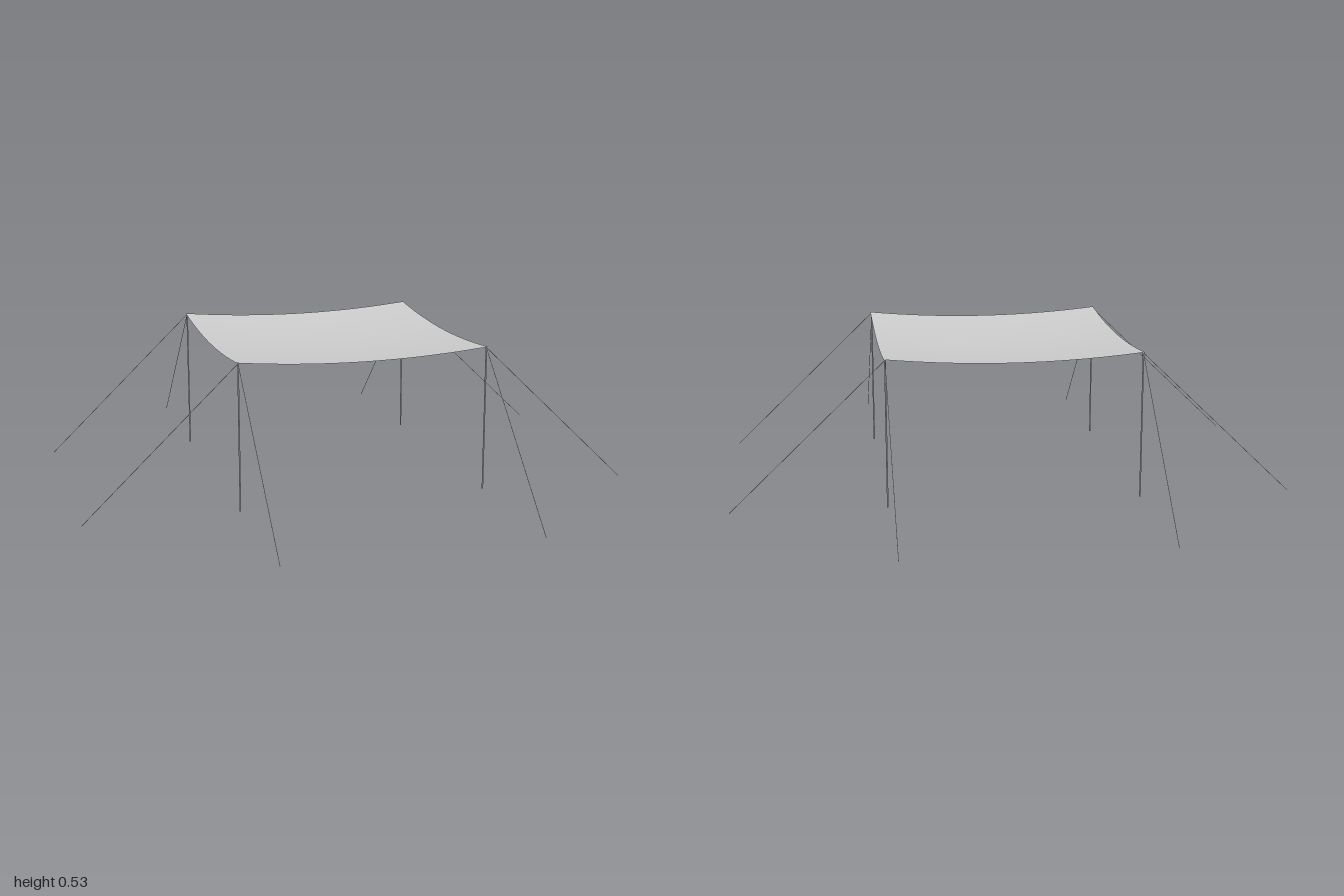
import * as THREE from 'three';

const HALF = 0.457; // half width of the canopy
const POST = 0.452; // pole offset from the centre
const TOP = 0.53;   // height of the canopy corners
const SAG = 0.025;  // sag along each direction

export function createModel() {
  const group = new THREE.Group();
  const material = new THREE.MeshStandardMaterial({ color: 0xcccccc });
  const clothMaterial = new THREE.MeshStandardMaterial({ color: 0xcccccc, side: THREE.DoubleSide });

  // Round bar between two points
  function bar(name, from, to, radius, sides) {
    const dir = to.clone().sub(from);
    const mesh = new THREE.Mesh(new THREE.CylinderGeometry(radius, radius, dir.length(), sides), material);
    mesh.position.copy(from).add(to).multiplyScalar(0.5);
    mesh.quaternion.setFromUnitVectors(new THREE.Vector3(0, 1, 0), dir.normalize());
    mesh.name = name;
    group.add(mesh);
  }

  // Canopy cloth, hanging in a parabola both ways between its corners
  const cloth = new THREE.PlaneGeometry(2 * HALF, 2 * HALF, 24, 24).rotateX(-Math.PI / 2);
  const pos = cloth.attributes.position;
  for (let i = 0; i < pos.count; i++) {
    const u = pos.getX(i) / HALF;
    const v = pos.getZ(i) / HALF;
    pos.setY(i, TOP - SAG * (2 - u * u - v * v));
  }
  cloth.computeVertexNormals();
  const canopy = new THREE.Mesh(cloth, clothMaterial);
  canopy.name = 'canopy';
  group.add(canopy);

  // A pole and two guy ropes at each corner
  for (const sx of [1, -1]) {
    for (const sz of [1, -1]) {
      const corner = (sz > 0 ? 'front' : 'back') + (sx > 0 ? 'Left' : 'Right');
      const x = sx * POST;
      const z = sz * POST;
      const head = new THREE.Vector3(x, TOP - 0.003, z);
      bar(corner + 'Pole', new THREE.Vector3(x, 0, z), head, 0.0028, 12);
      bar(corner + 'SideRope', new THREE.Vector3(sx, 0.001, z), head, 0.001, 6);
      bar(corner + 'EndRope', new THREE.Vector3(x, 0.001, sz), head, 0.001, 6);
    }
  }
  return group;
}
